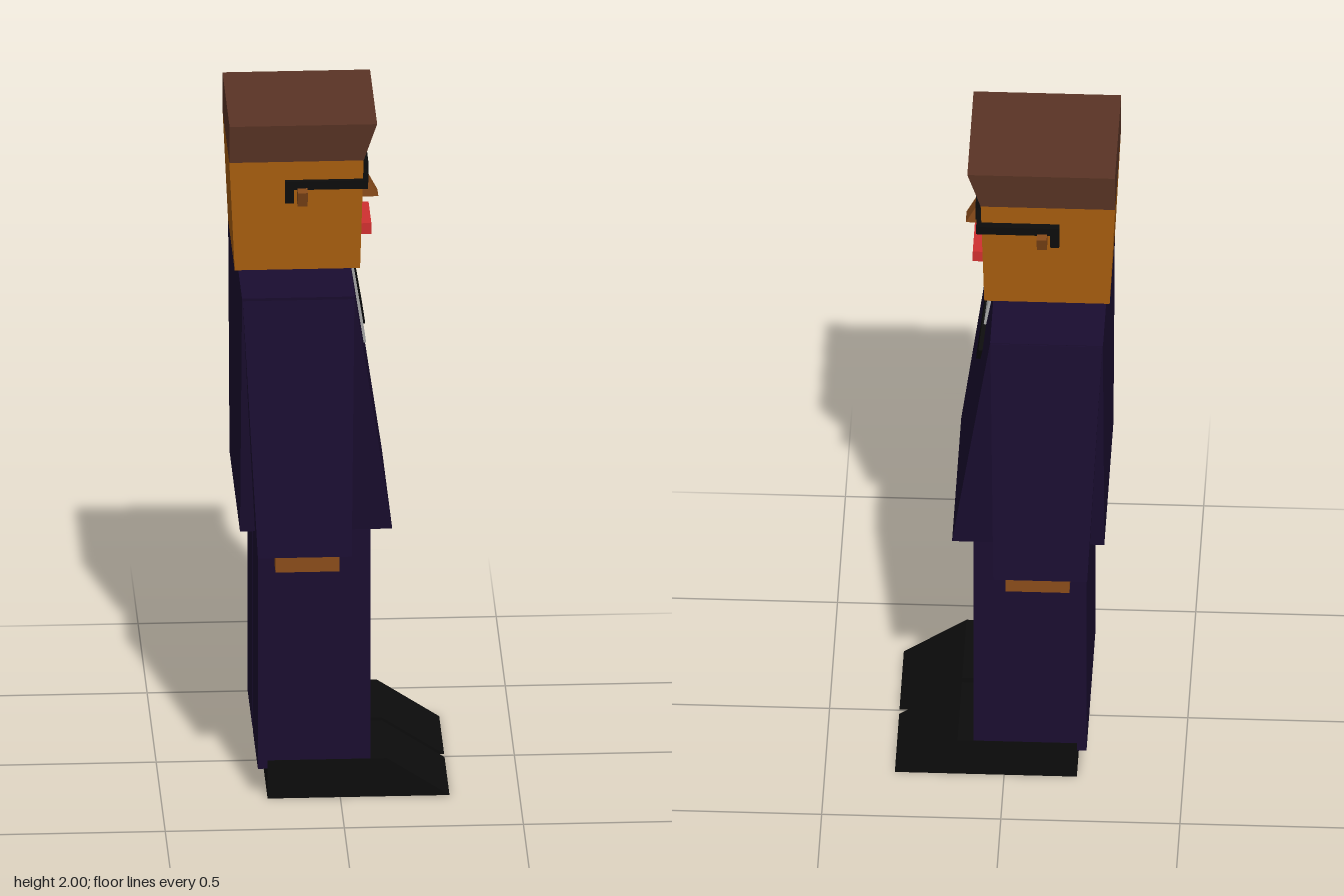
import * as THREE from 'three';

const mat = (color) => new THREE.MeshStandardMaterial({ color, flatShading: true });
const SUIT = mat(0x1a0d30), SKIN = mat(0xa55c0e), SKIN_DARK = mat(0x8a4c1a), HAIR = mat(0x5a3425);
const BLACK = mat(0x0c0c0c), RED = mat(0xd03030), GREY = mat(0xcccccc);

// Block tapering between two rectangles [x0, x1, z0, z1] at heights y0 and y1
function taper(name, material, y0, y1, bottom, top = bottom) {
  const g = new THREE.BoxGeometry(1, 1, 1);
  const p = g.attributes.position;
  for (let i = 0; i < p.count; i++) {
    const up = p.getY(i) > 0, r = up ? top : bottom;
    p.setXYZ(i, p.getX(i) > 0 ? r[1] : r[0], up ? y1 : y0, p.getZ(i) > 0 ? r[3] : r[2]);
  }
  g.computeVertexNormals();
  const m = new THREE.Mesh(g, material);
  m.name = name;
  return m;
}

// Thin panel of [z, y] points laid on the sloping chest
function chestPanel(name, material, points, lift) {
  const shape = new THREE.Shape(points.map(([z, y]) => new THREE.Vector2(-z, y)));
  const g = new THREE.ExtrudeGeometry(shape, { depth: lift, bevelEnabled: false });
  g.rotateY(Math.PI / 2);
  const p = g.attributes.position;
  for (let i = 0; i < p.count; i++) {
    p.setX(i, p.getX(i) + 0.035 + 0.11 * (1.56 - p.getY(i)) / 0.75);
  }
  g.computeVertexNormals();
  const m = new THREE.Mesh(g, material);
  m.name = name;
  return m;
}

// Rectangle given by inner and outer z, mirrored to side s
const side = (s, x0, x1, inner, outer) =>
  s > 0 ? [x0, x1, inner, outer] : [x0, x1, -outer, -inner];

export function createModel() {
  const model = new THREE.Group();
  model.name = 'suitedFigure';

  // Jacket and shirt front
  model.add(taper('jacket', SUIT, 0.81, 1.56, [-0.28, 0.145, -0.3, 0.28], [-0.28, 0.035, -0.385, 0.39]));
  model.add(chestPanel('shirt', GREY, [[0.143, 1.56], [0.02, 1.265], [-0.02, 1.265], [-0.122, 1.56]], 0.007));
  model.add(chestPanel('tie', BLACK,
    [[0.095, 1.535], [-0.058, 1.29], [-0.085, 1.285], [-0.113, 1.335], [0.075, 1.535]], 0.012));

  // Head, hair and face
  model.add(taper('head', SKIN, 1.56, 1.885, [-0.29, 0.06, -0.185, 0.185], [-0.305, 0.07, -0.185, 0.185]));
  model.add(taper('hair', HAIR, 1.885, 2, [-0.305, 0.07, -0.185, 0.185], [-0.305, 0.107, -0.195, 0.2]));
  model.add(taper('nose', SKIN_DARK, 1.71, 1.765, [0.05, 0.119, -0.022, 0.028], [0.05, 0.09, -0.022, 0.028]));
  model.add(taper('lips', RED, 1.617, 1.65, [0.05, 0.097, -0.078, 0.078]));

  // Glasses
  const glasses = new THREE.Group();
  glasses.name = 'glasses';
  glasses.add(taper('glassesBar', BLACK, 1.805, 1.83, [0.06, 0.082, -0.207, 0.2]));
  model.add(glasses);

  for (const s of [1, -1]) {
    const label = s > 0 ? 'PlusZ' : 'MinusZ';
    glasses.add(taper('lens' + label, BLACK, 1.79, 1.85, side(s, 0.06, 0.087, 0.04, 0.117)));
    const outer = s > 0 ? 0.199 : 0.207;
    glasses.add(taper('temple' + label, BLACK, 1.805, 1.83, side(s, -0.15, 0.07, 0.183, outer)));
    glasses.add(taper('templeHook' + label, BLACK, 1.765, 1.81, side(s, -0.15, -0.125, 0.183, outer)));
    model.add(taper('ear' + label, SKIN_DARK, 1.762, 1.81,
      side(s, -0.116, -0.088, 0.17, 0.215), side(s, -0.116, -0.088, 0.17, 0.235)));

    // Sleeve and hand
    model.add(taper('arm' + label, SUIT, 0.81, 1.558,
      side(s, -0.24, 0.022, 0.34, 0.477), side(s, -0.278, 0.034, 0.34, 0.388)));
    model.add(taper('hand' + label, SKIN_DARK, 0.76, 0.82, side(s, -0.19, -0.012, 0.39, 0.462)));

    // Trouser leg and wedge shoe
    const [z0, z1] = s > 0 ? [0.005, 0.277] : [-0.29, -0.018];
    model.add(taper('leg' + label, SUIT, 0.09, 0.815, [-0.23, 0.085, z0, z1]));
    model.add(taper('shoe' + label, BLACK, 0, 0.115,
      [-0.203, 0.305, z0 - 0.001, z1 + 0.001], [-0.203, 0.13, z0 - 0.001, z1 + 0.001]));
  }
  return model;
}
